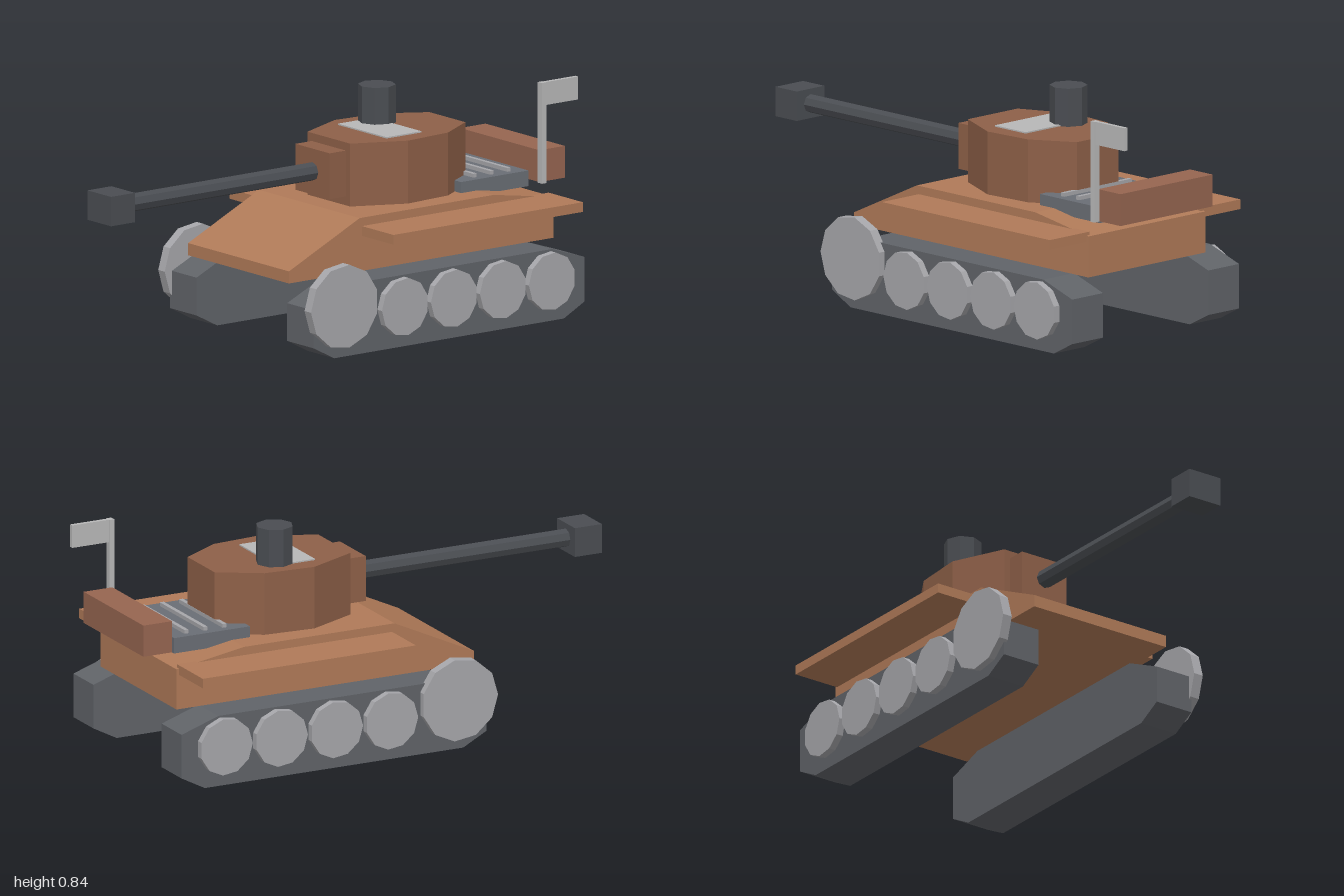
import * as THREE from 'three';

const mat = (color) => new THREE.MeshStandardMaterial({ color, flatShading: true });

export function createModel() {
  const tank = new THREE.Group();
  const hullMat = mat(0xb07a58), turretMat = mat(0x8e6048), binMat = mat(0x966550);
  const trackMat = mat(0x606368), gunMat = mat(0x4a4d52), deckMat = mat(0x6a6e75);
  const wheelMat = mat(0xa6a6aa), paleMat = mat(0xb8b8b8);

  const add = (name, geometry, material) => {
    const mesh = new THREE.Mesh(geometry, material);
    mesh.name = name;
    tank.add(mesh);
    return mesh;
  };

  // Box given by its minimum and maximum on each axis
  const box = (name, material, [x0, x1], [y0, y1], [z0, z1]) =>
    add(name, new THREE.BoxGeometry(x1 - x0, y1 - y0, z1 - z0), material)
      .position.set((x0 + x1) / 2, (y0 + y1) / 2, (z0 + z1) / 2);

  const extrude = (points, depth) => new THREE.ExtrudeGeometry(
    new THREE.Shape(points.map(([a, b]) => new THREE.Vector2(a, b))),
    { depth, bevelEnabled: false });

  // Side profile of [z, y] points, extruded across x
  const sideProfile = (points, x0, x1) =>
    extrude(points.map(([z, y]) => [-z, y]), x1 - x0).rotateY(Math.PI / 2).translate(x0, 0, 0);

  // Hull with sloped nose and falling rear deck
  add('hull', sideProfile([[0.36, 0.27], [0.36, 0.315], [0.035, 0.467], [-0.58, 0.467],
    [-0.855, 0.422], [-0.855, 0.27]], -0.295, 0.295), hullMat);

  // Fenders, tracks and wheels on both sides
  const trackProfile = [[0.25, 0], [0.345, 0.05], [0.345, 0.19], [0.18, 0.265],
    [-0.75, 0.265], [-0.9, 0.215], [-0.9, 0.05], [-0.805, 0]];
  for (const [side, s] of [['left', 1], ['right', -1]]) {
    const span = (a, b) => (s > 0 ? [a, b] : [-b, -a]);
    box(side + 'Fender', hullMat, span(0.28, 0.48), [0.4, 0.436], [-0.845, 0.025]);
    add(side + 'Track', sideProfile(trackProfile, ...span(0.265, 0.42)), trackMat);

    const wheel = (name, z, y, r) =>
      add(name, new THREE.CylinderGeometry(r, r, 0.038, 11).rotateZ(Math.PI / 2), wheelMat)
        .position.set(s * 0.428, y, z);
    wheel(side + 'DriveWheel', 0.223, 0.191, 0.155);
    for (let i = 0; i < 4; i++) wheel(side + 'RoadWheel' + (i + 1), -0.055 - 0.225 * i, 0.152, 0.107);
  }

  // Eight-sided turret, outlined in plan
  const halfPlan = [[0.125, -0.055], [0.215, -0.25], [0.2, -0.445], [0.105, -0.6]];
  const plan = [...halfPlan, ...halfPlan.map(([x, z]) => [-x, z]).reverse()];
  add('turret', extrude(plan.map(([x, z]) => [x, -z]), 0.235)
    .rotateX(-Math.PI / 2).translate(0, 0.465, 0), turretMat);

  // Gun
  box('mantlet', turretMat, [-0.1, 0.1], [0.5, 0.67], [-0.08, 0.02]);
  add('barrel', new THREE.CylinderGeometry(0.034, 0.034, 0.9, 8).rotateX(Math.PI / 2), gunMat)
    .position.set(0, 0.586, 0.46);
  box('muzzle', gunMat, [-0.069, 0.069], [0.531, 0.64], [0.89, 1]);

  // Turret roof
  box('hatchPlate', paleMat, [-0.143, 0.14], [0.69, 0.705], [-0.37, -0.21]);
  add('cupola', new THREE.CylinderGeometry(0.069, 0.069, 0.15, 8), gunMat)
    .position.set(-0.095, 0.766, -0.35);

  // Engine deck with grille bars
  box('engineDeck', deckMat, [-0.2, 0.2], [0.45, 0.508], [-0.815, -0.505]);
  for (let i = 0; i < 3; i++) {
    const z = -0.593 - 0.078 * i;
    box('grilleBar' + (i + 1), wheelMat, [-0.17, 0.17], [0.5, 0.522], [z - 0.008, z + 0.008]);
  }

  // Rear stowage and flag
  box('stowageBin', binMat, [-0.232, 0.232], [0.467, 0.585], [-0.957, -0.84]);
  box('flagPole', paleMat, [0.235, 0.26], [0.467, 0.84], [-0.85, -0.83]);
  box('flag', paleMat, [0.239, 0.255], [0.755, 0.84], [-1, -0.84]);

  return tank;
}
